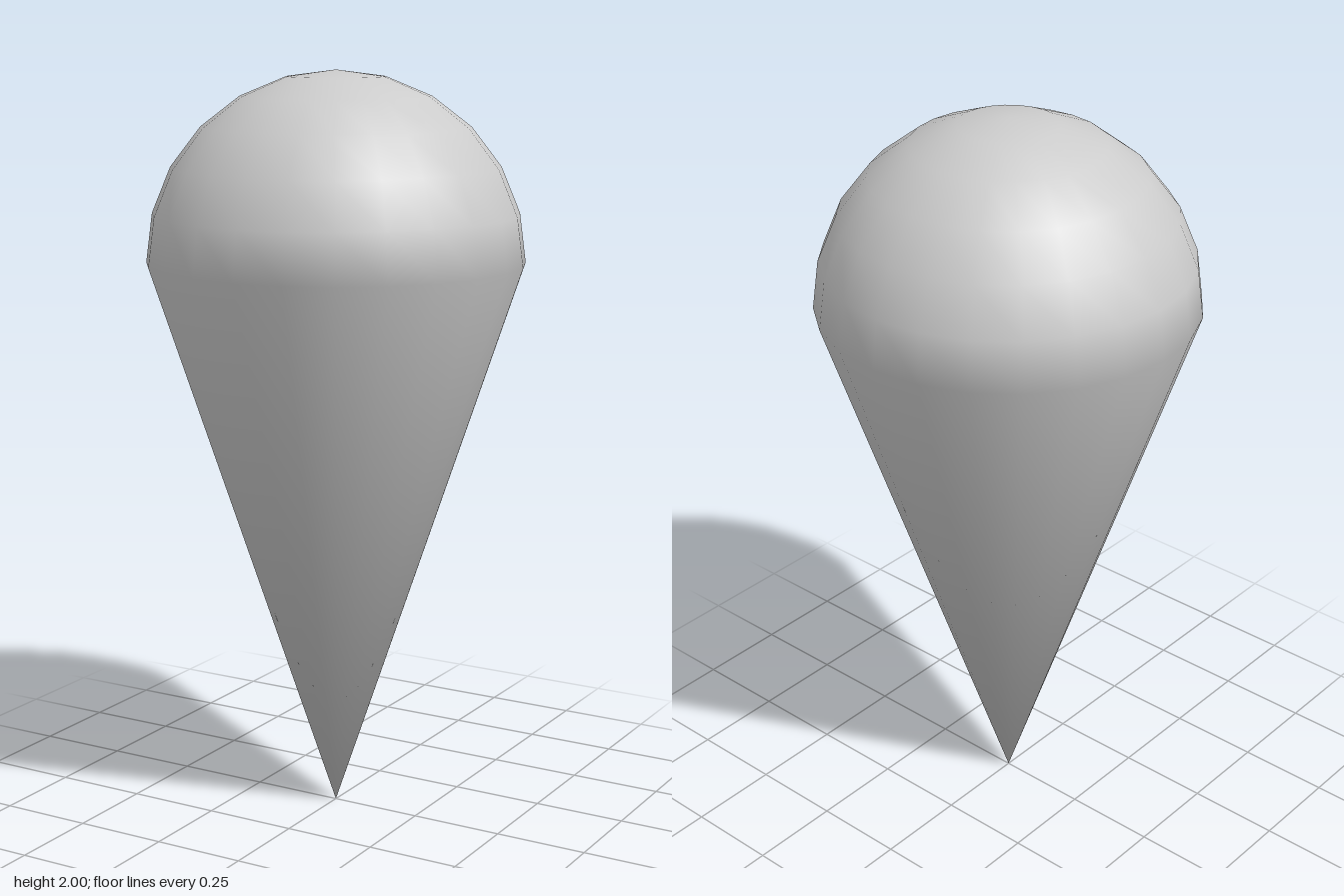
import * as THREE from 'three';

const RADIUS = 0.5;
const RIM_Y = 1.5;
const SIDES = 24;
const DOME_STEPS = 6;

export function createModel() {
  const group = new THREE.Group();
  group.name = 'teardropMarker';

  // Profile: pointed tip, straight cone side, then a quarter circle up to the crown
  const profile = [new THREE.Vector2(0, 0)];
  for (let i = 0; i <= DOME_STEPS; i++) {
    const a = (i / DOME_STEPS) * Math.PI / 2;
    const r = i === DOME_STEPS ? 0 : RADIUS * Math.cos(a);
    profile.push(new THREE.Vector2(r, RIM_Y + RADIUS * Math.sin(a)));
  }
  const geometry = new THREE.LatheGeometry(profile, SIDES);

  // Smooth poles: the tip normals point straight down, the crown normals straight up
  const { position, normal } = geometry.attributes;
  for (let i = 0; i < position.count; i++) {
    if (Math.hypot(position.getX(i), position.getZ(i)) < 1e-6) {
      normal.setXYZ(i, 0, position.getY(i) < RIM_Y ? -1 : 1, 0);
    }
  }

  const body = new THREE.Mesh(geometry, new THREE.MeshStandardMaterial({ color: 0xcccccc }));
  body.name = 'domedConeBody';
  group.add(body);
  return group;
}
